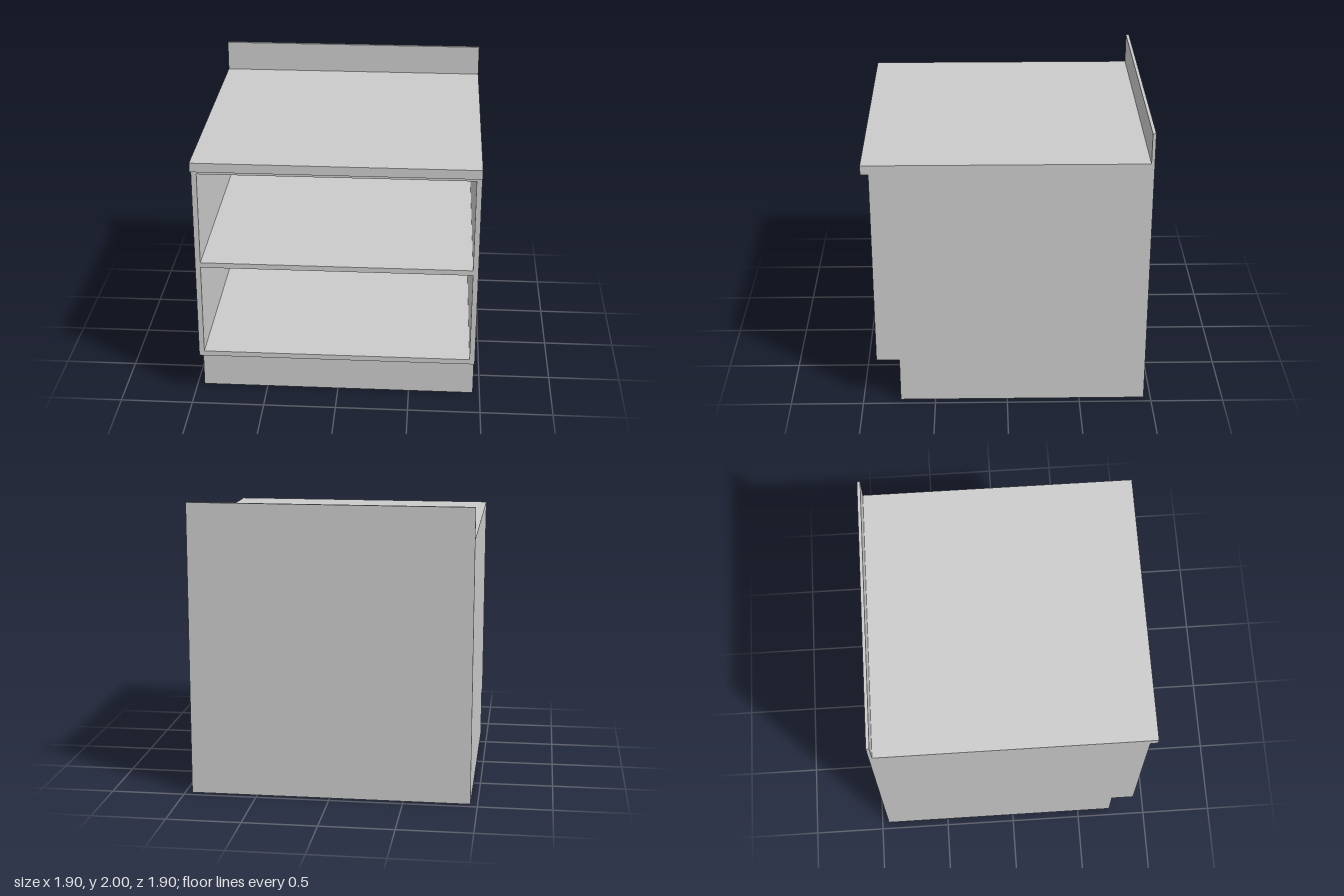
import * as THREE from 'three';

const material = new THREE.MeshStandardMaterial({ color: 0xcccccc });

// Main dimensions
const W = 0.952;                 // half width
const BACK = -0.952, FRONT = 0.9; // carcass depth
const BOARD = 0.036;             // board thickness
const KICK = 0.323, TOP = 1.725, COUNTER = 1.788;

// Box given by its limits on each axis
function board(name, [x0, x1], [y0, y1], [z0, z1]) {
  const mesh = new THREE.Mesh(new THREE.BoxGeometry(x1 - x0, y1 - y0, z1 - z0), material);
  mesh.position.set((x0 + x1) / 2, (y0 + y1) / 2, (z0 + z1) / 2);
  mesh.name = name;
  return mesh;
}

function rectangle(target, x, y0, y1) {
  target.moveTo(-x, y0);
  target.lineTo(x, y0);
  target.lineTo(x, y1);
  target.lineTo(-x, y1);
  target.closePath();
  return target;
}

export function createModel() {
  const group = new THREE.Group();
  group.name = 'baseCabinet';
  const inner = W - BOARD;
  const innerBack = BACK + BOARD;

  // Open-fronted carcass: sides, floor and top as one frame
  const outline = rectangle(new THREE.Shape(), W, KICK, TOP);
  outline.holes.push(rectangle(new THREE.Path(), inner, KICK + BOARD, TOP - BOARD));
  const carcass = new THREE.Mesh(
    new THREE.ExtrudeGeometry(outline, { depth: FRONT - innerBack, bevelEnabled: false }),
    material
  );
  carcass.position.z = innerBack;
  carcass.name = 'carcass';
  group.add(carcass);

  group.add(
    board('backPanel', [-W, W], [KICK, TOP], [BACK, innerBack]),
    board('shelf', [-inner, inner], [1.005, 1.041], [innerBack, FRONT]),
    // Recessed base
    board('plinth', [-W, W], [0, KICK], [BACK, 0.742]),
    // Worktop overhangs the front
    board('countertop', [-W, W], [TOP, COUNTER], [BACK, 0.952]),
    board('backsplash', [-W, W], [COUNTER, 2], [BACK, -0.93])
  );
  return group;
}
